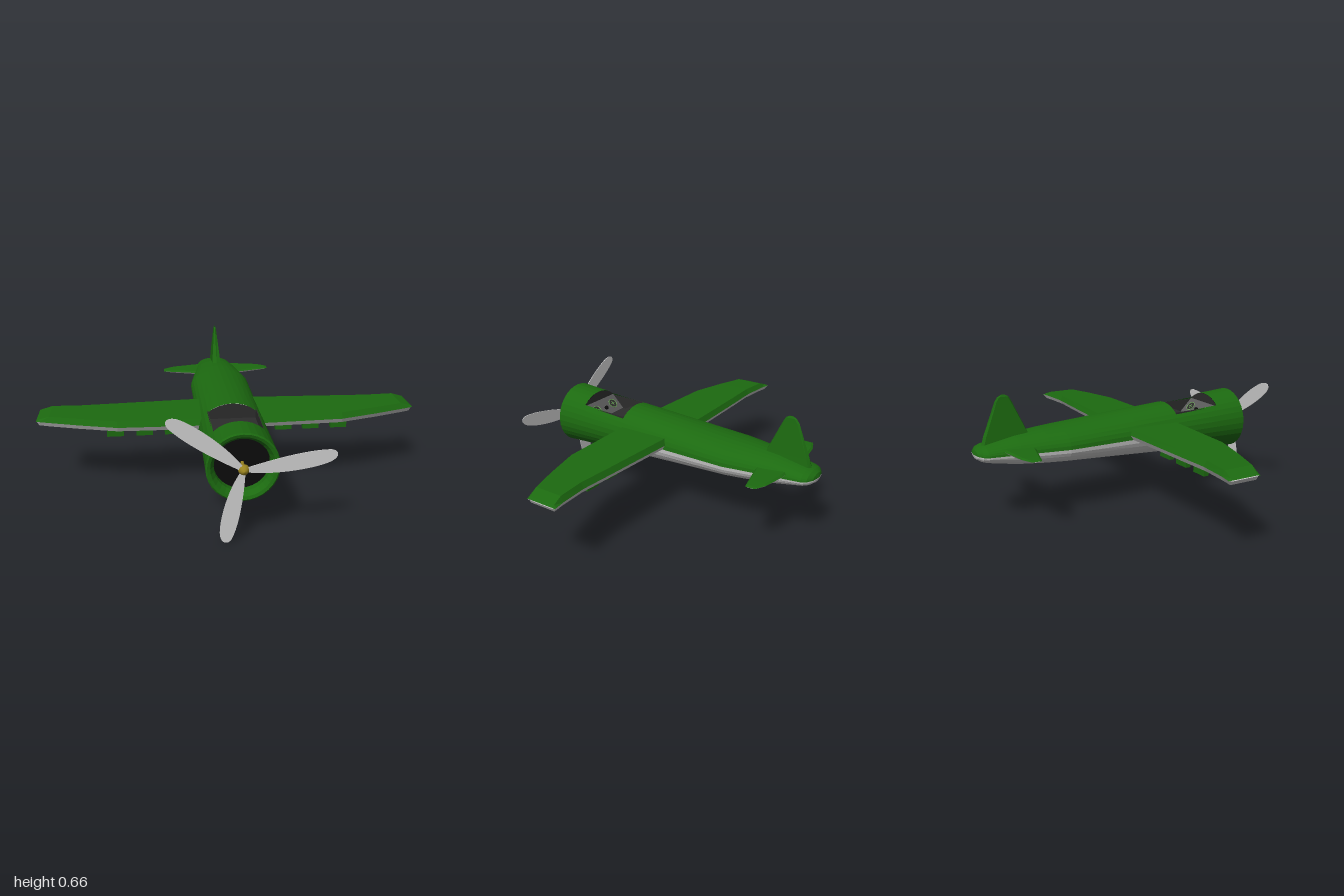
import * as THREE from 'three';

const mat = (color, flatShading = true) =>
  new THREE.MeshStandardMaterial({ color, flatShading, side: THREE.DoubleSide });
const GREEN = mat(0x1c6a10), GREY = mat(0xcccccc), DARK = mat(0x2c2c2c), BLACK = mat(0x0c0c0c),
  PANEL = mat(0x5a5a5a), GOLD = mat(0x9a8420, false), BLADE = mat(0xcccccc, false);
const AXIS_Y = 0.375;

function add(parent, name, geometry, material, x = 0, y = 0, z = 0) {
  const mesh = new THREE.Mesh(geometry, material);
  mesh.name = name;
  mesh.position.set(x, y, z);
  parent.add(mesh);
  return mesh;
}

// Skin a surface over rows of [x, y, z] points
function skin(rows) {
  const n = rows[0].length, index = [];
  for (let i = 0; i < rows.length - 1; i++)
    for (let j = 0; j < n - 1; j++) {
      const a = i * n + j, d = a + n;
      index.push(a, a + 1, d + 1, a, d + 1, d);
    }
  const g = new THREE.BufferGeometry();
  g.setAttribute('position', new THREE.Float32BufferAttribute(rows.flat(2), 3));
  g.setIndex(index);
  g.computeVertexNormals();
  return g;
}

// Fuselage stations, tail to nose: z, half width, half height
const BODY = [
  [-0.813, 0.002, 0.002], [-0.805, 0.05, 0.022], [-0.785, 0.085, 0.036], [-0.76, 0.1, 0.045],
  [-0.6, 0.127, 0.076], [-0.45, 0.153, 0.091], [-0.35, 0.17, 0.097], [-0.2, 0.17, 0.107],
  [0.05, 0.17, 0.123], [0.32, 0.17, 0.14], [0.6, 0.171, 0.16], [0.765, 0.172, 0.172],
];

// Strip of fuselage skin between two stations and two angles (degrees)
function shell(from, to, a0, a1) {
  const steps = Math.round((a1 - a0) / 11.25);
  return skin(BODY.slice(from, to + 1).map(([z, w, h]) =>
    Array.from({ length: steps + 1 }, (_, j) => {
      const t = THREE.MathUtils.degToRad(a0 + (a1 - a0) * j / steps);
      return [w * Math.cos(t), AXIS_Y + h * Math.sin(t), z];
    })));
}

// Flying surface: stations of x, front z, rear z, top y, bottom y around a mid height
function aerofoil(name, stations, mid, bevel) {
  const group = new THREE.Group();
  group.name = name;
  const half = (side) => skin(stations.map(([x, zf, zr, top, bottom]) => {
    const y = side > 0 ? top : bottom;
    const row = [[x, mid, zr], [x, y, zr + bevel], [x, y, zf - bevel], [x, mid, zf]];
    return side > 0 ? row : row.reverse();
  }));
  add(group, name + 'Top', half(1), GREEN);
  add(group, name + 'Underside', half(-1), GREY);
  return group;
}

function buildFuselage() {
  const g = new THREE.Group();
  g.name = 'fuselage';
  add(g, 'rearUpperSkin', shell(0, 9, 0, 180), GREEN);
  add(g, 'belly', shell(0, 9, 180, 360), GREY);
  add(g, 'cockpitSides', shell(9, 10, 135, 405), GREEN);
  add(g, 'cowling', shell(10, 11, 0, 360), GREEN);

  // Rolled cowl lip and recessed intake
  const lip = [[0.172, 0.765], [0.165, 0.77], [0.15, 0.765], [0.132, 0.74], [0.13, 0.7]];
  const lipGeo = new THREE.LatheGeometry(lip.map(([r, z]) => new THREE.Vector2(r, z)), 32);
  add(g, 'cowlLip', lipGeo.rotateX(Math.PI / 2), GREEN, 0, AXIS_Y, 0);
  add(g, 'intake', new THREE.CircleGeometry(0.132, 32), BLACK, 0, AXIS_Y, 0.71);
  return g;
}

function buildCockpit() {
  const g = new THREE.Group();
  g.name = 'cockpit';
  // Bulkheads closing both ends of the opening
  for (const [name, station, dz] of [['rearBulkhead', 9, 0.001], ['frontBulkhead', 10, -0.001]]) {
    const [z, w, h] = BODY[station];
    add(g, name, new THREE.CircleGeometry(1, 32), DARK, 0, AXIS_Y, z + dz).scale.set(w * 0.995, h * 0.995, 1);
  }
  add(g, 'floor', new THREE.BoxGeometry(0.29, 0.02, 0.28), DARK, 0, 0.4, 0.46);
  add(g, 'seat', new THREE.BoxGeometry(0.24, 0.03, 0.14), DARK, 0, 0.42, 0.39);
  for (const s of [-1, 1])
    add(g, 'innerWall', new THREE.BoxGeometry(0.004, 0.085, 0.278), DARK, s * 0.123, 0.437, 0.46);

  // Sloping instrument panel with two dials
  const panel = new THREE.Group();
  panel.name = 'instrumentPanel';
  panel.position.set(0, 0.445, 0.56);
  panel.rotation.x = -Math.PI / 2 - 0.75;
  panel.rotation.z = 0;
  add(panel, 'panelBoard', new THREE.BoxGeometry(0.242, 0.105, 0.006), PANEL);
  panel.rotation.x = -Math.PI / 2 - Math.PI / 4;
  for (const s of [-1, 1]) {
    const x = s * 0.07;
    add(panel, 'dialFace', new THREE.CircleGeometry(0.027, 20), DARK, x, 0, 0.004);
    add(panel, 'dialRing', new THREE.TorusGeometry(0.027, 0.002, 6, 24), mat(0x6fae5a), x, 0, 0.005);
    add(panel, 'dialNeedle', new THREE.BoxGeometry(0.03, 0.003, 0.002), mat(0x6fae5a), x, 0, 0.006);
    add(panel, 'dialNeedle', new THREE.BoxGeometry(0.003, 0.03, 0.002), mat(0x6fae5a), x, 0, 0.006);
  }
  add(panel, 'controlKnob', new THREE.SphereGeometry(0.012, 12, 8), BLACK, 0, 0.01, 0.01);
  g.add(panel);
  return g;
}

function buildSide(name) {
  const g = new THREE.Group();
  g.name = name;
  g.add(aerofoil('wing', [
    [0.1, 0.32, 0, 0.432, 0.375], [0.58, 0.305, 0.02, 0.43, 0.375], [0.78, 0.25, 0.03, 0.43, 0.375],
    [0.93, 0.203, 0.018, 0.428, 0.375], [0.985, 0.185, 0.008, 0.409, 0.376], [1, 0.18, 0.005, 0.402, 0.398],
  ], 0.4, 0.015));
  g.add(aerofoil('tailplane', [
    [0.05, -0.51, -0.69, 0.408, 0.385], [0.13, -0.528, -0.682, 0.405, 0.386], [0.26, -0.562, -0.66, 0.403, 0.388],
    [0.31, -0.575, -0.638, 0.4, 0.39], [0.325, -0.583, -0.628, 0.396, 0.395],
  ], 0.396, 0.01));
  // Blocks hung beneath the wing
  for (const x of [0.297, 0.447, 0.6])
    add(g, 'underwingBlock', new THREE.BoxGeometry(0.088, 0.095, 0.03), GREEN, x, 0.34, 0.15);
  return g;
}

// Vertical fin: stations of y, front z, rear z, front and rear half thickness
function buildFin() {
  const rows = [
    [0.4, -0.495, -0.775, 0.032, 0.022], [0.46, -0.522, -0.757, 0.025, 0.018],
    [0.63, -0.602, -0.69, 0.008, 0.006], [0.652, -0.615, -0.675, 0.006, 0.005], [0.663, -0.635, -0.655, 0.001, 0.001],
  ].map(([y, f, r, tf, tr]) => [
    [0, y, f], [tf, y, f - 0.008], [tr, y, r + 0.01], [0, y, r], [-tr, y, r + 0.01], [-tf, y, f - 0.008], [0, y, f],
  ]);
  return skin(rows);
}

function buildPropeller() {
  const g = new THREE.Group();
  g.name = 'propeller';
  g.position.set(0, AXIS_Y, 0.79);
  const hub = [[0, 0.024], [0.012, 0.02], [0.022, 0.008], [0.027, -0.006], [0.02, -0.02], [0.008, -0.026], [0.008, -0.09]];
  const hubGeo = new THREE.LatheGeometry(hub.reverse().map(([r, z]) => new THREE.Vector2(r, z)), 16);
  add(g, 'spinner', hubGeo.rotateX(Math.PI / 2), GOLD);

  // Paddle-shaped blades, widest beyond the middle
  const outline = new THREE.Shape();
  outline.moveTo(0, -0.008);
  outline.bezierCurveTo(0.12, -0.05, 0.3, -0.052, 0.38, -0.035);
  outline.bezierCurveTo(0.44, -0.022, 0.445, 0.018, 0.4, 0.028);
  outline.bezierCurveTo(0.3, 0.045, 0.14, 0.03, 0, 0.008);
  const bladeGeo = new THREE.ExtrudeGeometry(outline, { depth: 0.004, bevelEnabled: false, curveSegments: 12 });
  for (const [deg, length] of [[9, 1], [143.5, 0.985], [257, 0.89]]) {
    const blade = add(g, 'blade', bladeGeo, BLADE);
    blade.rotation.z = THREE.MathUtils.degToRad(deg);
    blade.scale.x = length;
  }
  g.rotation.y = -0.03;
  return g;
}

export function createModel() {
  const model = new THREE.Group();
  model.name = 'propellerPlane';
  model.add(buildFuselage(), buildCockpit(), buildPropeller());
  const left = buildSide('leftSide'), right = buildSide('rightSide');
  right.scale.x = -1;
  model.add(left, right);
  add(model, 'fin', buildFin(), GREEN);
  return model;
}
